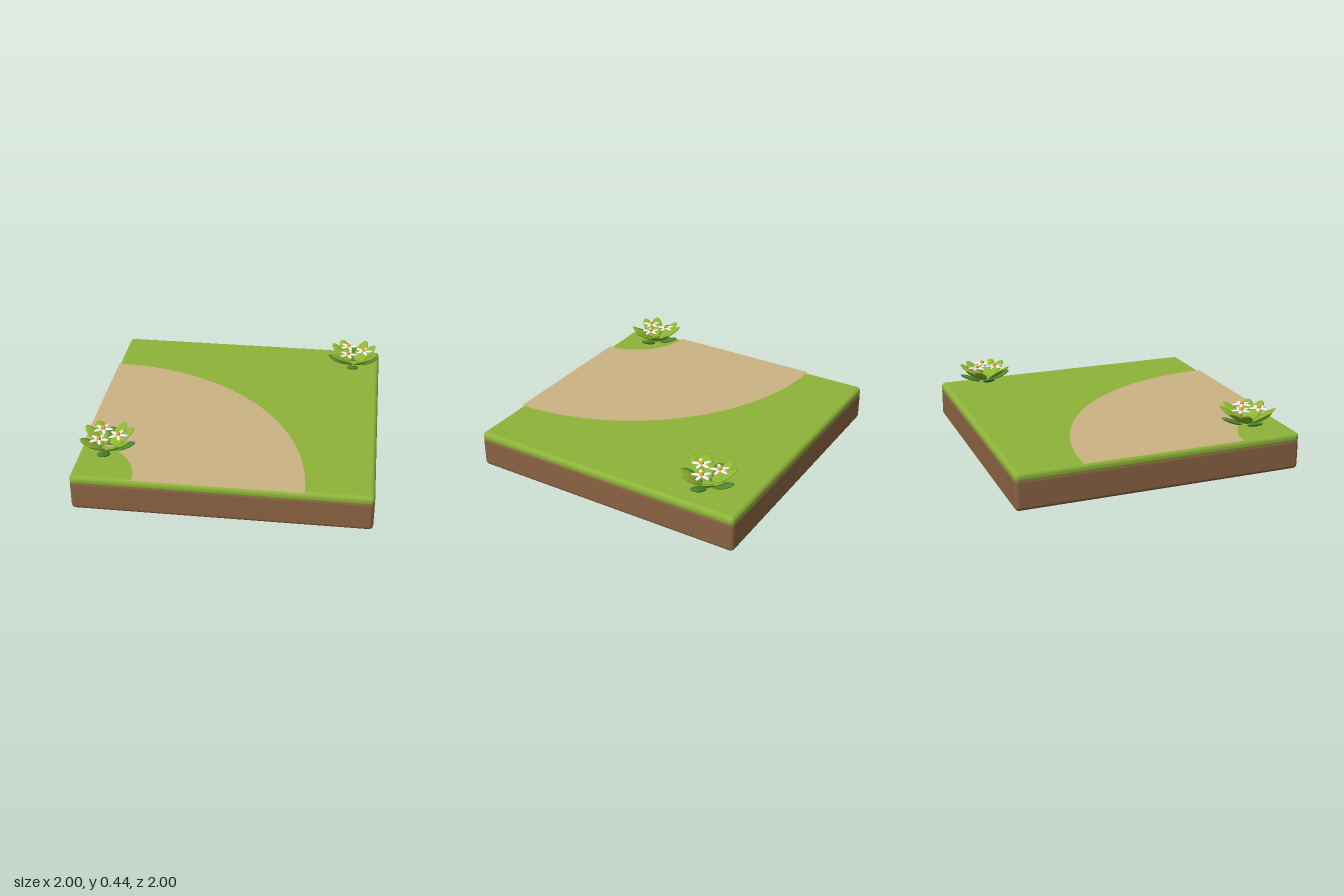
import * as THREE from 'three';
import { RoundedBoxGeometry } from 'three/addons/geometries/RoundedBoxGeometry.js';

const mat = (color, extra = {}) => new THREE.MeshStandardMaterial({ color, ...extra });
const SOIL = mat(0x8a6242);
const GRASS = mat(0x8db339);
const SAND = mat(0xcdb384, { side: THREE.DoubleSide });
const LEAF = mat(0x8db52f);
const DARK_LEAF = mat(0x4a8a32);
const PETAL = mat(0xf4f1ee);
const POLLEN = mat(0xe3a21f);

const ball = new THREE.SphereGeometry(1, 20, 12);

function slab(name, y0, y1, material) {
  const mesh = new THREE.Mesh(new RoundedBoxGeometry(2, y1 - y0, 2, 5, 0.03), material);
  mesh.name = name;
  mesh.position.y = (y0 + y1) / 2;
  return mesh;
}

// Flattened ellipsoid pointing outwards at an angle, its outer end raised by tilt
function blade(name, material, angle, reach, y, size, tilt) {
  const arm = new THREE.Group();
  arm.name = name;
  arm.rotation.y = angle;
  const mesh = new THREE.Mesh(ball, material);
  mesh.name = name;
  mesh.position.set(reach, y, 0);
  mesh.scale.set(...size);
  mesh.rotation.z = tilt;
  arm.add(mesh);
  return arm;
}

function createFlower() {
  const flower = new THREE.Group();
  flower.name = 'flower';
  for (let i = 0; i < 5; i++) {
    flower.add(blade('petal', PETAL, (i * Math.PI * 2) / 5, 0.036, 0, [0.032, 0.007, 0.013], 0));
  }
  const heart = new THREE.Mesh(ball, POLLEN);
  heart.name = 'flowerCentre';
  heart.position.y = 0.008;
  heart.scale.setScalar(0.015);
  flower.add(heart);
  return flower;
}

function createPlant(x, z) {
  const plant = new THREE.Group();
  plant.name = 'plant';
  plant.position.set(x, 0, z);
  // Rosette of twelve leaves, every third one darker and lower
  for (let i = 0; i < 12; i++) {
    const angle = (i * Math.PI) / 6;
    plant.add(i % 3 === 0
      ? blade('lowerLeaf', DARK_LEAF, angle, 0.115, 0.33, [0.08, 0.013, 0.042], 0.38)
      : blade('upperLeaf', LEAF, angle, 0.112, 0.364, [0.093, 0.012, 0.043], 0.6));
  }
  // Three blossoms above the leaves
  for (let i = 0; i < 3; i++) {
    const a = (i * Math.PI * 2) / 3;
    const flower = createFlower();
    flower.position.set(Math.cos(a) * 0.077, 0.413, Math.sin(a) * 0.077);
    plant.add(flower);
  }
  return plant;
}

// Quarter ring of sand around the front right corner
function createPath() {
  const shape = new THREE.Shape();
  shape.absarc(0, 0, 1.55, 0, Math.PI / 2, false);
  shape.absarc(0, 0, 0.42, Math.PI / 2, 0, true);
  const path = new THREE.Mesh(new THREE.ShapeGeometry(shape, 48), SAND);
  path.name = 'curvedPath';
  path.rotation.x = -Math.PI / 2;
  path.position.set(-1, 0.262, 1);
  return path;
}

export function createModel() {
  const model = new THREE.Group();
  model.name = 'gardenPathTile';
  model.add(
    slab('soil', 0, 0.22, SOIL),
    slab('grass', 0.19, 0.26, GRASS),
    createPath(),
    createPlant(0.8, -0.7),
    createPlant(-0.8, 0.7),
  );
  return model;
}
